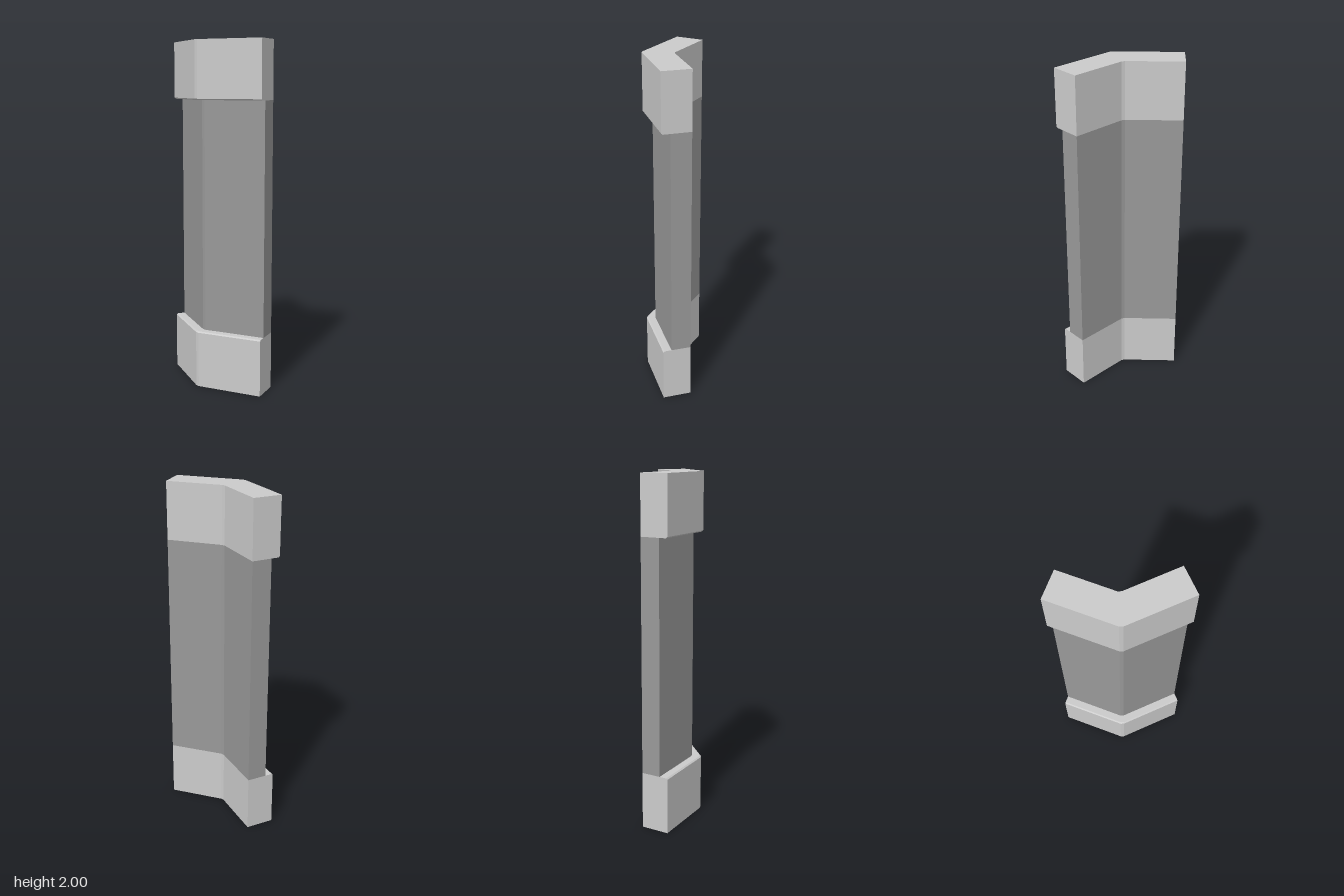
import * as THREE from 'three';

// Bent plan outline as (x, z) corners; inset pulls in only the outer long side
function outline(inset) {
  const bendZ = 0.06 - 0.414 * inset;
  return [
    [-0.2 + inset, -0.343],
    [-0.2 + inset, bendZ - 0.012],
    [-0.192 + inset, bendZ + 0.008],
    [0.082 + 0.707 * inset, 0.343 - 0.707 * inset],
    [0.2, 0.225],
    [-0.028, -0.003],
    [-0.036, -0.022],
    [-0.036, -0.343],
  ];
}

// Closed prism through levels of [y, inset], listed from bottom to top
function prism(levels) {
  const rings = levels.map(([y, inset]) => outline(inset).map(([x, z]) => [x, y, z]));
  const positions = [];
  const tri = (a, b, c) => positions.push(...a, ...b, ...c);
  for (let i = 0; i + 1 < rings.length; i++) {
    const low = rings[i], high = rings[i + 1];
    low.forEach((a, j) => {
      const k = (j + 1) % low.length;
      tri(a, low[k], high[k]);
      tri(a, high[k], high[j]);
    });
  }
  const bottom = rings[0], top = rings[rings.length - 1];
  const flat = (ring) => ring.map(([x, , z]) => new THREE.Vector2(x, -z));
  for (const [a, b, c] of THREE.ShapeUtils.triangulateShape(flat(bottom), [])) {
    tri(bottom[c], bottom[b], bottom[a]);
  }
  for (const [a, b, c] of THREE.ShapeUtils.triangulateShape(flat(top), [])) {
    tri(top[a], top[b], top[c]);
  }
  const geometry = new THREE.BufferGeometry();
  geometry.setAttribute('position', new THREE.Float32BufferAttribute(positions, 3));
  geometry.computeVertexNormals();
  return geometry;
}

export function createModel() {
  const group = new THREE.Group();
  group.name = 'angledPillar';
  const light = new THREE.MeshStandardMaterial({ color: 0xcccccc, flatShading: true });
  const dark = new THREE.MeshStandardMaterial({ color: 0x999999, flatShading: true });

  const add = (name, levels, material) => {
    const mesh = new THREE.Mesh(prism(levels), material);
    mesh.name = name;
    group.add(mesh);
  };

  // End blocks with a small chamfer on the edge facing the shaft
  const block = [[0, 0], [0.325, 0], [0.332, 0.008]];
  add('base', block, light);
  add('capital', block.map(([y, inset]) => [2 - y, inset]).reverse(), light);

  // Recessed shaft between the blocks
  add('shaft', [[0.332, 0.05], [1.668, 0.05]], dark);

  return group;
}
